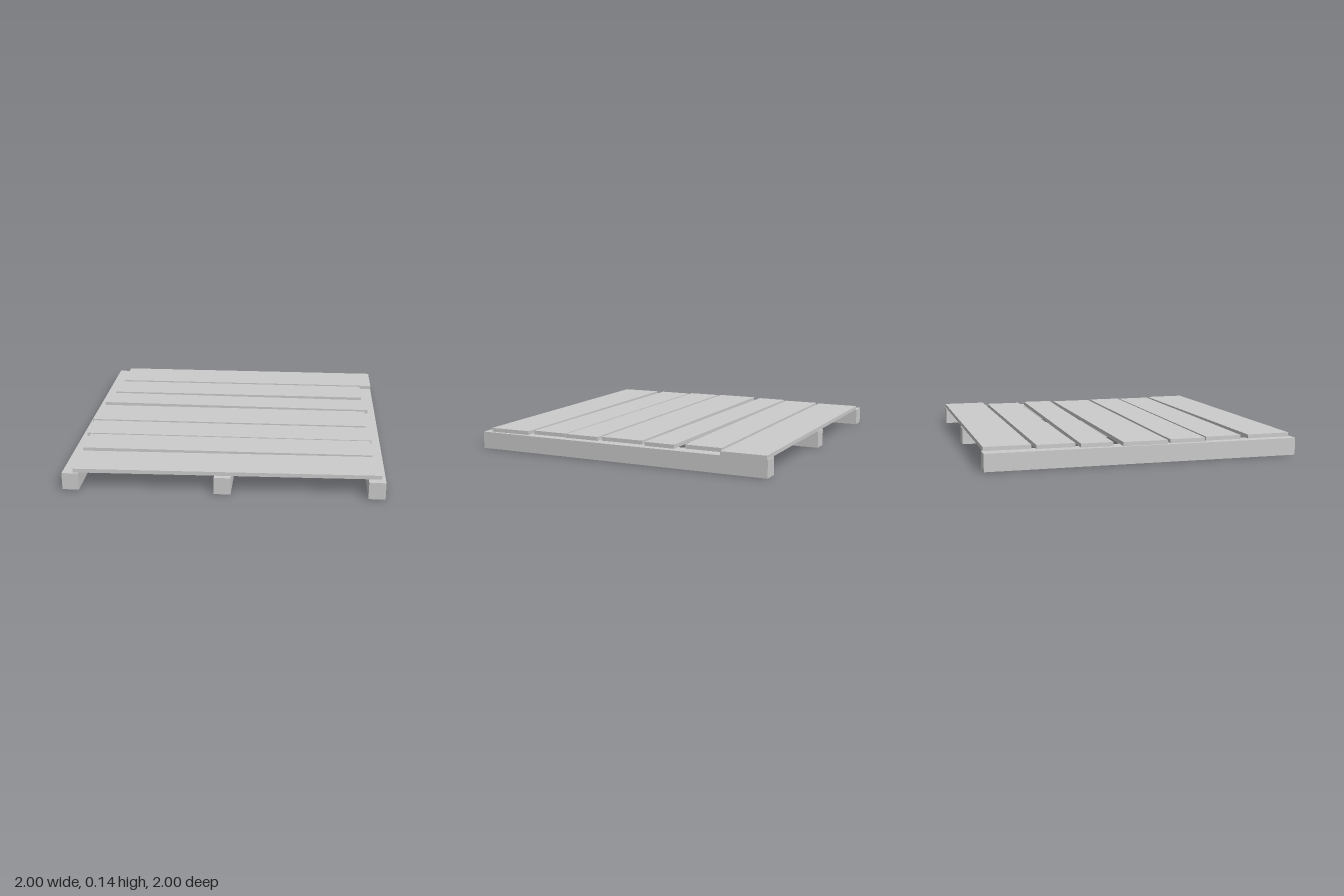
import * as THREE from 'three';

const material = new THREE.MeshStandardMaterial({ color: 0xcccccc, flatShading: true });
const BEAM_HEIGHT = 0.11, PLANK_THICKNESS = 0.025;

function box(name, w, h, d, x, y, z) {
  const mesh = new THREE.Mesh(new THREE.BoxGeometry(w, h, d), material);
  mesh.name = name;
  mesh.position.set(x, y, z);
  return mesh;
}

export function createModel() {
  const pallet = new THREE.Group();
  pallet.name = 'pallet';

  // Three beams running front to back
  [['rightBeam', -0.948], ['middleBeam', 0], ['leftBeam', 0.948]].forEach(([name, x]) =>
    pallet.add(box(name, 0.104, BEAM_HEIGHT, 2, x, BEAM_HEIGHT / 2, 0)));

  // Uneven deck planks, back to front: x start, x end, z at each end, depth
  const planks = [
    [-0.914, 1.0, -0.845, -0.848, 0.293],
    [-0.933, 0.917, -0.551, -0.555, 0.242],
    [-0.963, 0.951, -0.302, -0.276, 0.205],
    [-0.984, 0.926, 0.001, -0.003, 0.286],
    [-0.968, 0.944, 0.281, 0.279, 0.231],
    [-0.941, 0.936, 0.531, 0.524, 0.236],
    [-0.936, 0.974, 0.842, 0.806, 0.285],
  ];
  planks.forEach(([x0, x1, z0, z1, depth], i) => {
    const plank = box(`deckPlank${i + 1}`, x1 - x0, PLANK_THICKNESS, depth,
      (x0 + x1) / 2, BEAM_HEIGHT + PLANK_THICKNESS / 2, (z0 + z1) / 2);
    plank.rotation.y = -Math.atan2(z1 - z0, x1 - x0);
    pallet.add(plank);
  });
  return pallet;
}
